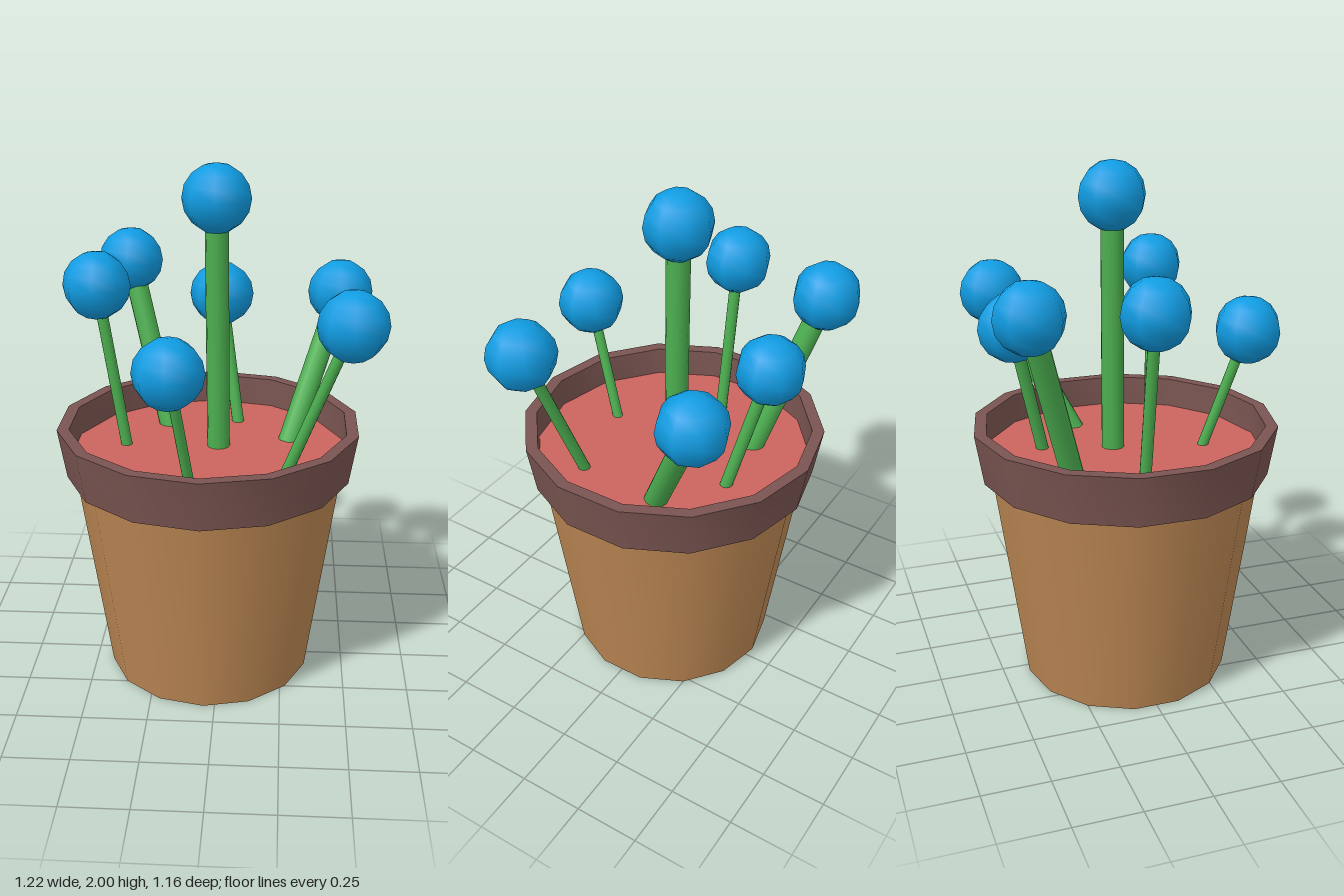
import * as THREE from 'three';
import { toCreasedNormals } from 'three/addons/utils/BufferGeometryUtils.js';

const SIDES = 14;
const POT_X = -0.043;
const SOIL_Y = 0.91;

function material(name, color) {
  const m = new THREE.MeshStandardMaterial({ color });
  m.name = name;
  return m;
}

function part(name, geometry, mat) {
  const mesh = new THREE.Mesh(geometry, mat);
  mesh.name = name;
  return mesh;
}

// Straight stem from the soil up to the centre of its bloom
function stemBetween(base, tip, radius, mat) {
  const dir = tip.clone().sub(base);
  const mesh = part('stem', new THREE.CylinderGeometry(radius, radius, dir.length(), 12), mat);
  mesh.position.copy(base).addScaledVector(dir, 0.5);
  mesh.quaternion.setFromUnitVectors(new THREE.Vector3(0, 1, 0), dir.normalize());
  return mesh;
}

export function createModel() {
  const clay = material('clay', 0xbc8753);
  const darkClay = material('dark clay', 0x7a5551);
  const earth = material('red soil', 0xcc655f);
  const green = material('stem green', 0x4caf50);
  const blue = material('bloom blue', 0x109ce2);

  const model = new THREE.Group();
  model.name = 'flowerPot';

  // Pot: tapered body, overhanging rim and soil disc
  const pot = new THREE.Group();
  pot.name = 'pot';
  pot.position.x = POT_X;
  const body = part('potBody', new THREE.CylinderGeometry(0.518, 0.4, 0.84, SIDES), clay);
  body.position.y = 0.42;
  const rimProfile = [
    [0.5, 0.83], [0.55, 0.83], [0.582, 1.025], [0.536, 1.025], [0.532, SOIL_Y - 0.02],
  ].map(([r, y]) => new THREE.Vector2(r, y));
  const rim = part('rim', toCreasedNormals(new THREE.LatheGeometry(rimProfile, SIDES), 0.6), darkClay);
  const soil = part('soil', new THREE.CylinderGeometry(0.533, 0.515, 0.06, SIDES), earth);
  soil.position.y = SOIL_Y - 0.03;
  pot.add(body, rim, soil);
  model.add(pot);

  // Flowers: bloom centre, stem foot (x, z) and stem radius
  const flowers = [
    [[-0.015, 1.873, -0.038], [-0.008, -0.035], 0.044],
    [[-0.385, 1.547, -0.444], [-0.215, -0.255], 0.043],
    [[-0.016, 1.417, -0.42], [0.06, -0.295], 0.024],
    [[0.46, 1.44, -0.39], [0.265, -0.115], 0.044],
    [[0.477, 1.5, 0.288], [0.25, 0.208], 0.022],
    [[-0.152, 1.37, 0.45], [-0.097, 0.295], 0.02],
    [[-0.463, 1.547, -0.03], [-0.365, -0.03], 0.022],
  ];
  const bloomGeometry = new THREE.SphereGeometry(0.128, 8, 8);
  for (const [centre, [fx, fz], radius] of flowers) {
    const flower = new THREE.Group();
    flower.name = 'flower';
    const tip = new THREE.Vector3(...centre);
    const bloom = part('bloom', bloomGeometry, blue);
    bloom.position.copy(tip);
    flower.add(stemBetween(new THREE.Vector3(fx, SOIL_Y - 0.02, fz), tip, radius, green), bloom);
    model.add(flower);
  }
  return model;
}
